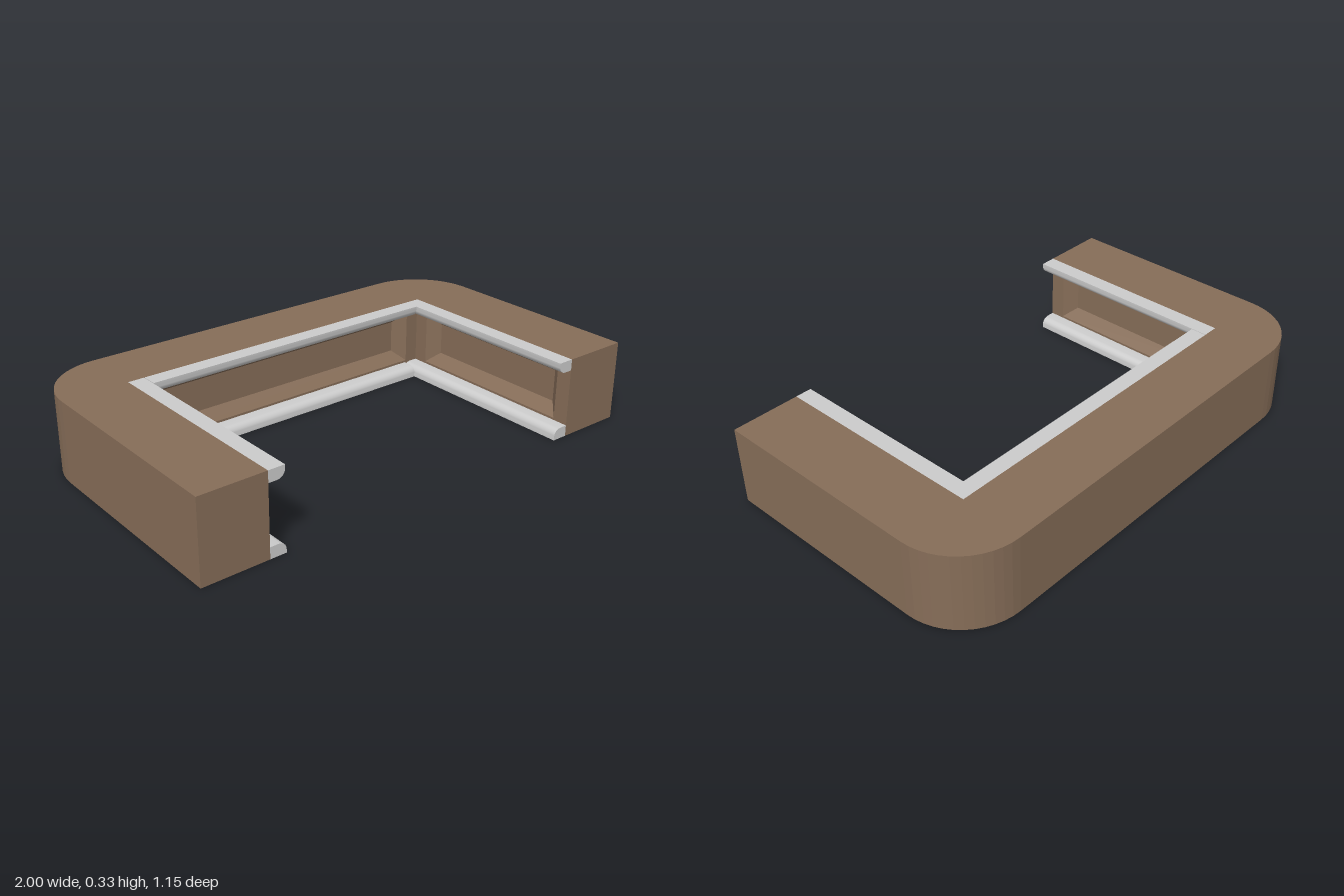
import * as THREE from 'three';
import { toCreasedNormals } from 'three/addons/utils/BufferGeometryUtils.js';

const HEIGHT = 0.33, FRONT = 0.575, BACK = -0.578, WALL = -0.31; // z limits and back inner wall
const IN_R = -0.73, IN_L = 0.72; // inner walls of the arms
const DEPTH = 0.045; // panel recess

const brown = new THREE.MeshStandardMaterial({ color: 0x866d58 });
const grey = new THREE.MeshStandardMaterial({ color: 0xcccccc });

function add(parent, name, geometry, material) {
  const mesh = new THREE.Mesh(geometry, material);
  mesh.name = name;
  parent.add(mesh);
  return mesh;
}

// U-shaped core with rounded back corners, its inside set back to the panel floors
function coreGeometry() {
  const r = 0.27, s = new THREE.Shape();
  s.moveTo(-1, -FRONT);
  s.lineTo(IN_R - DEPTH, -FRONT);
  s.lineTo(IN_R - DEPTH, -WALL + DEPTH);
  s.lineTo(IN_L + DEPTH, -WALL + DEPTH);
  s.lineTo(IN_L + DEPTH, -FRONT);
  s.lineTo(1, -FRONT);
  s.lineTo(1, -BACK - r);
  s.absarc(1 - r, -BACK - r, r, 0, Math.PI / 2, false);
  s.absarc(-1 + r, -BACK - r, r, Math.PI / 2, Math.PI, false);
  const g = new THREE.ExtrudeGeometry(s, { depth: HEIGHT, bevelEnabled: false, curveSegments: 6 });
  return g.rotateX(-Math.PI / 2);
}

// Raised frame with sloping inner edges, lofted through four rectangles
function frameGeometry(half, mouthHalf) {
  const slope = 0.05;
  const rings = [
    [half, 0, HEIGHT, 0],
    [half, 0, HEIGHT, DEPTH],
    [mouthHalf, 0.055, 0.275, DEPTH],
    [mouthHalf - slope, 0.1, 0.235, 0],
  ];
  const pos = [], idx = [];
  for (const [w, lo, hi, z] of rings) pos.push(-w, lo, z, w, lo, z, w, hi, z, -w, hi, z);
  for (let i = 0; i < 3; i++) {
    for (let k = 0; k < 4; k++) {
      const a = i * 4 + k, b = i * 4 + (k + 1) % 4;
      idx.push(a, b, b + 4, a, b + 4, a + 4);
    }
  }
  const g = new THREE.BufferGeometry();
  g.setAttribute('position', new THREE.Float32BufferAttribute(pos, 3));
  g.setIndex(idx);
  const flat = g.toNonIndexed();
  flat.computeVertexNormals();
  return flat;
}

// Rounded trim strip; sx and sy mirror the profile
function trimGeometry(length, sx, sy) {
  const w = 0.067, h = 0.046, s = new THREE.Shape();
  s.moveTo(0, 0);
  s.lineTo(sx * w, 0);
  s.lineTo(sx * w, sy * 0.012);
  s.bezierCurveTo(sx * w, sy * 0.033, sx * 0.053, sy * h, sx * 0.032, sy * h);
  s.lineTo(0, sy * h);
  s.closePath();
  const g = new THREE.ExtrudeGeometry(s, { depth: length, bevelEnabled: false, curveSegments: 8 });
  return toCreasedNormals(g, 0.6);
}

export function createModel() {
  const model = new THREE.Group();
  model.name = 'counter';
  add(model, 'counterBody', coreGeometry(), brown);

  // Panel frames on the three inner walls
  const armLength = FRONT - WALL, midZ = (FRONT + WALL) / 2, midX = (IN_R + IN_L) / 2;
  const back = add(model, 'backPanelFrame', frameGeometry((IN_L - IN_R) / 2 + DEPTH, 0.665), brown);
  back.position.set(midX, 0, WALL - DEPTH);
  for (const side of [-1, 1]) {
    const frame = add(model, side > 0 ? 'leftPanelFrame' : 'rightPanelFrame',
      frameGeometry(armLength / 2, armLength / 2 - 0.065), brown);
    frame.rotation.y = -side * Math.PI / 2;
    frame.position.set(side > 0 ? IN_L + DEPTH : IN_R - DEPTH, 0, midZ);
  }

  // Trim along the lower and upper inner edges
  for (const [level, y, sy] of [['lower', 0, 1], ['upper', HEIGHT, -1]]) {
    add(model, level + 'RightTrim', trimGeometry(armLength, 1, sy), grey).position.set(IN_R, y, WALL);
    add(model, level + 'LeftTrim', trimGeometry(armLength, -1, sy), grey).position.set(IN_L, y, WALL);
    const trim = add(model, level + 'BackTrim', trimGeometry(1.315, 1, sy), grey);
    trim.rotation.y = -Math.PI / 2;
    trim.position.set(0.655, y, WALL);
  }
  return model;
}
